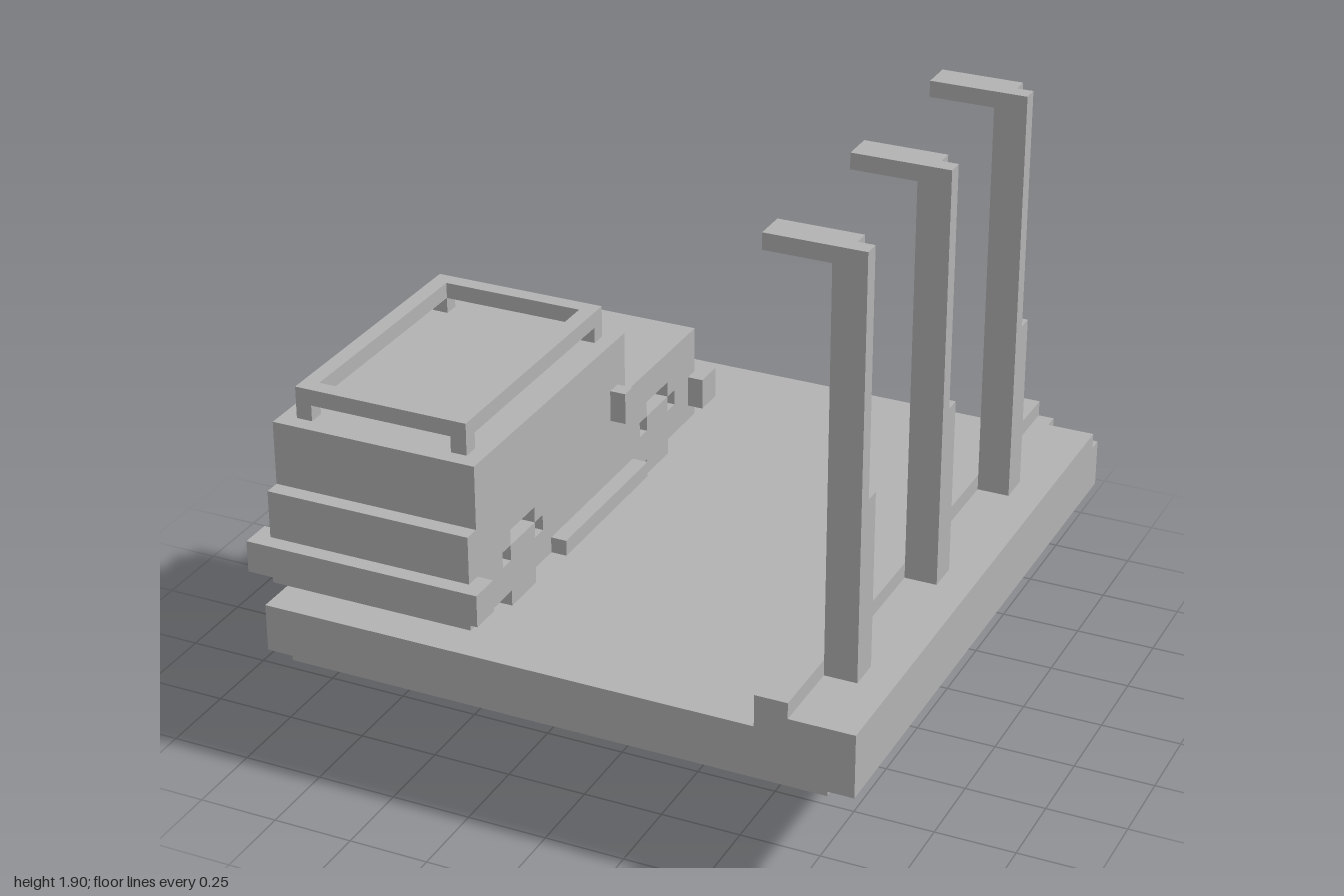
import * as THREE from 'three';
import { mergeGeometries } from 'three/addons/utils/BufferGeometryUtils.js';

const grey = new THREE.MeshStandardMaterial({ color: 0xb2b2b2 });
grey.name = 'plain grey';

function boxGeo(x0, x1, y0, y1, z0, z1) {
  return new THREE.BoxGeometry(x1 - x0, y1 - y0, z1 - z0)
    .translate((x0 + x1) / 2, (y0 + y1) / 2, (z0 + z1) / 2);
}

function add(parent, name, ...geos) {
  const mesh = new THREE.Mesh(geos.length > 1 ? mergeGeometries(geos) : geos[0], grey);
  mesh.name = name;
  parent.add(mesh);
  return mesh;
}

// Extrudes a side profile of [z, y] points (and holes) from x0 to x1
function sideGeo(points, x0, x1) {
  const shape = new THREE.Shape(points.map(([z, y]) => new THREE.Vector2(z, y)));
  return new THREE.ExtrudeGeometry(shape, { depth: x1 - x0, bevelEnabled: false })
    .rotateY(-Math.PI / 2).translate(x1, 0, 0);
}

// Seeded hash in 0..1
function hash(a, b, c) {
  const s = Math.sin(a * 127.1 + b * 311.7 + c * 74.7 + 5.3) * 43758.5453;
  return s - Math.floor(s);
}

// Ground slab with kerb and pavement
function buildGround() {
  const g = new THREE.Group();
  g.name = 'ground';
  add(g, 'road', boxGeo(-0.9, 0.95, 0.4, 0.55, -1, 1));
  add(g, 'kerb', boxGeo(0.65, 0.75, 0.55, 0.65, -1, 1));
  add(g, 'pavement', boxGeo(0.75, 0.8, 0.55, 0.6, -1, 1), boxGeo(0.8, 0.95, 0.55, 0.6, -0.95, 1));
  return g;
}

// Ragged rock hanging below the slab, in stepped layers of small cubes
function buildRock() {
  const u = 0.05, cx = -2, cz = 1;
  // x and z limits of each layer in cube units, top to bottom
  const layers = [
    [-17, 17, -19, 19], [-13, 13, -16, 17], [-11, 7, -12, 15], [-8, 5, -9, 13],
    [-6, 3, -7, 9], [-5, 1, -4, 4], [-4, -1, -2, 4], [-3, -1, 0, 2],
  ];
  const geos = [];
  let above = () => true;
  layers.forEach(([x0, x1, z0, z1], k) => {
    const upper = above;
    const solid = (i, j) => {
      if (i < x0 || i >= x1 || j < z0 || j >= z1 || !upper(i, j)) return false;
      const dx = i + 0.5 - cx, dz = j + 0.5 - cz;
      if (k === 0 || k === 7 || Math.abs(dx) < 1 || Math.abs(dz) < 1) return true;
      const rx = dx / (dx > 0 ? x1 - cx : cx - x0), rz = dz / (dz > 0 ? z1 - cz : cz - z0);
      const noise = 0.6 * hash(Math.floor(i / 2), Math.floor(j / 3), k) + 0.4 * hash(i, j, k);
      return Math.hypot(rx, rz) + (noise - 0.5) * 0.7 < 1.0;
    };
    above = solid;
    const top = 0.4 - k * u;
    for (let i = x0; i < x1; i++) {
      let start = null;
      for (let j = z0; j <= z1; j++) {
        const s = solid(i, j);
        if (s && start === null) start = j;
        if (!s && start !== null) {
          geos.push(boxGeo(i * u, (i + 1) * u, top - u, top, start * u, j * u));
          start = null;
        }
      }
    }
  });
  // Separate spur in front of the tip
  geos.push(boxGeo(-0.2, -0.05, 0.1, 0.2, 0.3, 0.4));
  const g = new THREE.Group();
  g.name = 'rock';
  add(g, 'rockLayers', ...geos);
  return g;
}

// Street lamp with a stepped back corner and an arm over the road
function buildLamp(z) {
  const g = new THREE.Group();
  g.name = 'streetLamp';
  add(g, 'lampPost',
    boxGeo(0.75, 0.85, 0.6, 1.15, -0.05, 0.05),
    boxGeo(0.75, 0.8, 1.15, 1.9, -0.05, 0.05),
    boxGeo(0.8, 0.85, 1.15, 1.9, 0, 0.05));
  add(g, 'lampArm', boxGeo(0.55, 0.75, 1.85, 1.9, -0.05, 0.05));
  g.position.z = z;
  return g;
}

// Pickup truck, built centred on x = 0 and then parked on the right
function buildTruck() {
  const g = new THREE.Group();
  g.name = 'truck';
  const axles = [0.625, -0.275];
  const upper = [[0.95, 0.6], [0.95, 0.9], [0.9, 0.9], [0.9, 1.1], [-0.05, 1.1], [-0.05, 0.9], [-0.55, 0.9], [-0.55, 0.6]];
  // Stepped wheel arches cut into the bottom edge of the side panels
  const arches = [...axles].reverse().flatMap(a => [
    [a - 0.125, 0.6], [a - 0.125, 0.75], [a - 0.075, 0.75], [a - 0.075, 0.8],
    [a + 0.075, 0.8], [a + 0.075, 0.75], [a + 0.125, 0.75], [a + 0.125, 0.6]]);
  add(g, 'body', sideGeo(upper, -0.275, 0.275));
  const w = 0.075;
  for (const s of [-1, 1]) {
    const xs = (a, b) => s > 0 ? [a, b] : [-b, -a];
    add(g, 'sidePanel', sideGeo([...upper, ...arches], ...xs(0.275, 0.325)));
    for (const a of axles) {
      add(g, 'wheel', sideGeo([
        [a - w, 0.55], [a + w, 0.55], [a + w, 0.6], [a + 0.125, 0.6], [a + 0.125, 0.7], [a + w, 0.7],
        [a + w, 0.75], [a - w, 0.75], [a - w, 0.7], [a - 0.125, 0.7], [a - 0.125, 0.6], [a - w, 0.6],
      ], ...xs(0.275, 0.325)));
    }
    add(g, 'runningBoard', boxGeo(...xs(0.325, 0.375), 0.6, 0.65, -0.1, 0.45));
    add(g, 'mirror', boxGeo(...xs(0.325, 0.375), 0.85, 0.95, 0, 0.05));
    // Roof rack rails and feet
    add(g, 'rackSideRail', boxGeo(...xs(0.225, 0.275), 1.15, 1.2, 0, 0.85));
    for (const z of [0, 0.8]) add(g, 'rackFoot', boxGeo(...xs(0.225, 0.275), 1.1, 1.15, z, z + 0.05));
  }
  for (const z of [0, 0.8]) add(g, 'rackCrossRail', boxGeo(-0.225, 0.225, 1.15, 1.2, z, z + 0.05));
  add(g, 'frontBumper', boxGeo(-0.375, 0.375, 0.65, 0.75, 0.9, 1));
  add(g, 'rearBumper', boxGeo(-0.375, 0.375, 0.65, 0.75, -0.6, -0.5));
  g.position.x = -0.575;
  return g;
}

export function createModel() {
  const model = new THREE.Group();
  model.name = 'floatingStreet';
  model.add(buildGround(), buildRock(), buildTruck());
  for (const z of [-0.5, 0.1, 0.7]) model.add(buildLamp(z));
  return model;
}
